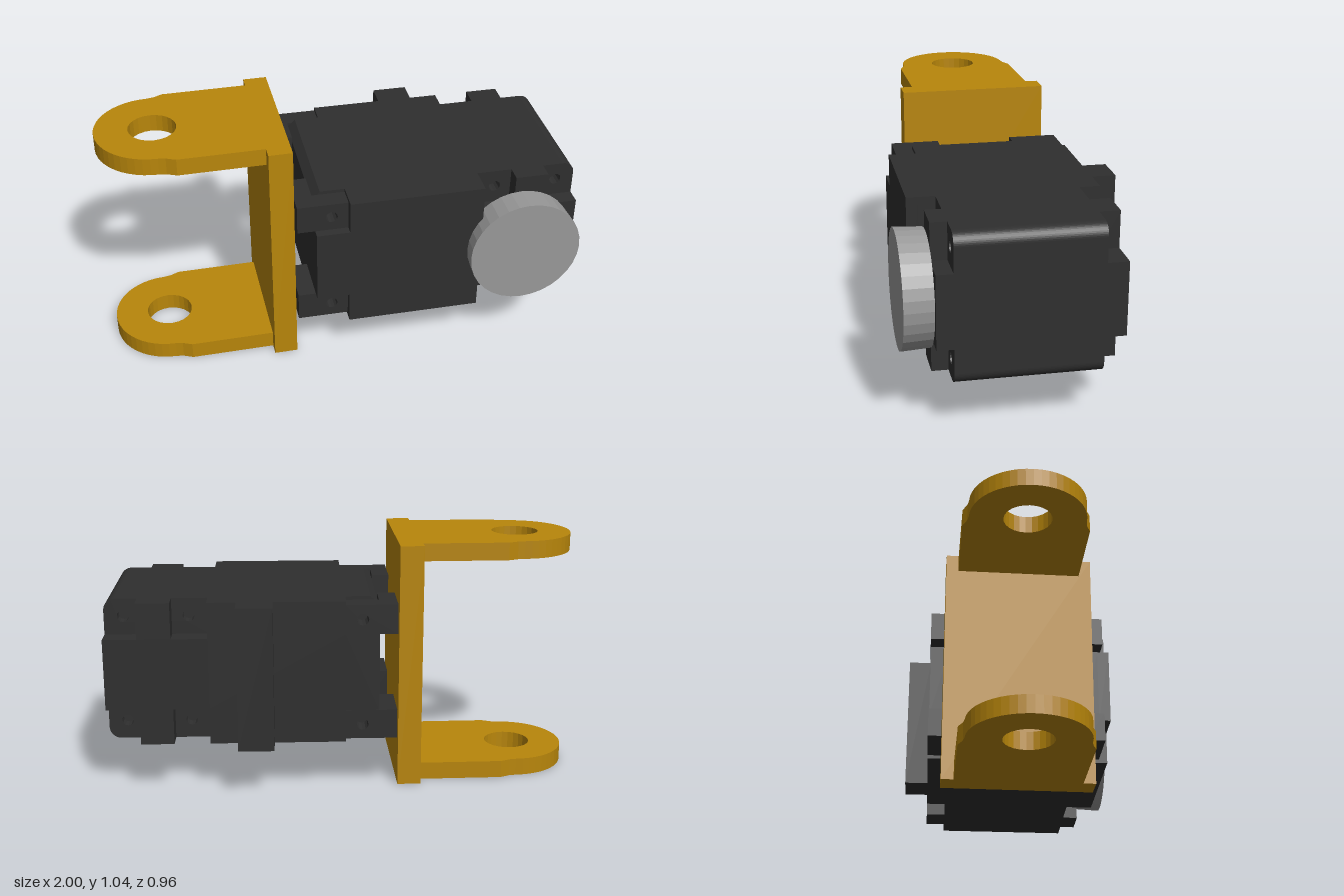
import * as THREE from 'three';

const MID = 0.525; // height of the body's axis
const material = (color) => new THREE.MeshStandardMaterial({ color, flatShading: true });
const gold = material(0xb8860b), black = material(0x2f2f2f), grey = material(0x999999);

function add(parent, name, geometry, mat) {
  const mesh = new THREE.Mesh(geometry, mat);
  mesh.name = name;
  parent.add(mesh);
  return mesh;
}

// Box given by its extents
function box(x0, x1, y0, y1, z0, z1) {
  return new THREE.BoxGeometry(x1 - x0, y1 - y0, z1 - z0)
    .translate((x0 + x1) / 2, (y0 + y1) / 2, (z0 + z1) / 2);
}

function slab(shape, z0, z1) {
  return new THREE.ExtrudeGeometry(shape, { depth: z1 - z0, bevelEnabled: false, curveSegments: 6 })
    .translate(0, 0, z0);
}

function punch(shape, x, y, r) {
  shape.holes.push(new THREE.Path().absarc(x, y, r, 0, Math.PI * 2, true));
  return shape;
}

// Closed outline symmetric about the body's axis, from [x, half height] pairs
function mirrored(half) {
  const lower = half.map(([x, h]) => new THREE.Vector2(x, MID - h));
  const upper = half.map(([x, h]) => new THREE.Vector2(x, MID + h)).reverse();
  return new THREE.Shape([...lower, ...upper]);
}

// Body outline with rounded far corners and chamfered near corners
function coreShape() {
  const s = new THREE.Shape(), x0 = -0.15, x1 = 0.99, y0 = 0.22, y1 = 0.83, r = 0.05, c = 0.035;
  s.moveTo(x0 + c, y0);
  s.lineTo(x1 - r, y0);
  s.absarc(x1 - r, y0 + r, r, -Math.PI / 2, 0, false);
  s.lineTo(x1, y1 - r);
  s.absarc(x1 - r, y1 - r, r, 0, Math.PI / 2, false);
  s.lineTo(x0 + c, y1);
  s.lineTo(x0, y1 - c);
  s.lineTo(x0, y0 + c);
  return s;
}

// Same outline with the screw holes
function screwShape() {
  const s = coreShape();
  for (const x of [0.64, 0.91]) for (const y of [0.3, 0.755]) punch(s, x, y, 0.025);
  return s;
}

// U-shaped bracket: web plate and two rounded arms with pivot holes
function makeBracket() {
  const bracket = new THREE.Group();
  bracket.name = 'bracket';
  add(bracket, 'bracketWeb', box(-0.33, -0.23, 0, 1.045, -0.335, 0.295), gold);
  const cx = -0.76, cz = -0.02, w = 0.263;
  const s = new THREE.Shape();
  s.moveTo(-0.33, cz - w);
  s.lineTo(-0.33, cz + w);
  s.lineTo(-0.69, cz + w);
  s.lineTo(-0.73, cz + 0.245);
  s.absarc(cx, cz, 0.24, Math.PI / 2, Math.PI * 1.5, false);
  s.lineTo(-0.73, cz - 0.245);
  s.lineTo(-0.69, cz - w);
  punch(s, cx, cz, 0.1);
  for (const [name, top] of [['lowerArm', 0.075], ['upperArm', 1.045]]) {
    const arm = new THREE.ExtrudeGeometry(s, { depth: 0.075, bevelEnabled: false, curveSegments: 12 });
    add(bracket, name, arm.rotateX(Math.PI / 2).translate(0, top, 0), gold);
  }
  return bracket;
}

// Motor housing built from layers along z
function makeMotor() {
  const motor = new THREE.Group();
  motor.name = 'motor';
  add(motor, 'housingCore', slab(coreShape(), -0.245, 0.235), black);
  add(motor, 'frontScrewPlate', slab(screwShape(), 0.235, 0.285), black);
  add(motor, 'backScrewPlate', slab(screwShape(), -0.295, -0.245), black);

  // Cover layers, notched around the screws
  const full = 0.305, narrow = 0.152, lugGap = 0.165;
  const cover = [
    [-0.15, lugGap], [-0.01, lugGap], [-0.01, full], [0.56, full], [0.56, narrow],
    [0.71, narrow], [0.71, full], [0.85, full], [0.85, narrow], [0.99, narrow],
  ];
  add(motor, 'frontCover', slab(mirrored(cover), 0.285, 0.352), black);
  add(motor, 'backCover', slab(mirrored(cover), -0.38, -0.295), black);
  const raised = [[-0.15, lugGap], [-0.01, lugGap], [-0.01, full], [0.56, full]];
  add(motor, 'frontRaisedCover', slab(mirrored(raised), 0.352, 0.402), black);
  add(motor, 'backRidge', box(0.29, 0.44, 0.22, 0.83, -0.48, -0.38), black);

  // Four mounting lugs reaching to the bracket
  for (const y0 of [0.235, 0.69]) {
    const y1 = y0 + 0.125, yc = y0 + 0.0625;
    const ear = new THREE.Shape([[-0.225, y0], [-0.01, y0], [-0.01, y1], [-0.225, y1]]
      .map(([x, y]) => new THREE.Vector2(x, y)));
    punch(ear, -0.08, yc, 0.025);
    for (const [side, inner, mid, outer] of [['front', 0.155, 0.285, 0.365], ['back', -0.175, -0.295, -0.382]]) {
      add(motor, side + 'Lug', slab(ear, Math.min(mid, outer), Math.max(mid, outer)), black);
      add(motor, side + 'LugFoot',
        box(-0.225, -0.15, y0, y1, Math.min(inner, mid), Math.max(inner, mid)), black);
    }
  }

  // Output disc
  const disc = new THREE.CylinderGeometry(0.24, 0.234, 0.118, 32).rotateX(Math.PI / 2);
  add(motor, 'outputDisc', disc.translate(0.738, MID, 0.411), grey);

  // Slight yaw about the body's middle
  const yaw = -0.015, pivot = 0.42;
  motor.rotation.y = yaw;
  motor.position.set(pivot - pivot * Math.cos(yaw), 0, pivot * Math.sin(yaw));
  return motor;
}

export function createModel() {
  const model = new THREE.Group();
  model.name = 'servoWithBracket';
  model.add(makeBracket(), makeMotor());
  return model;
}
